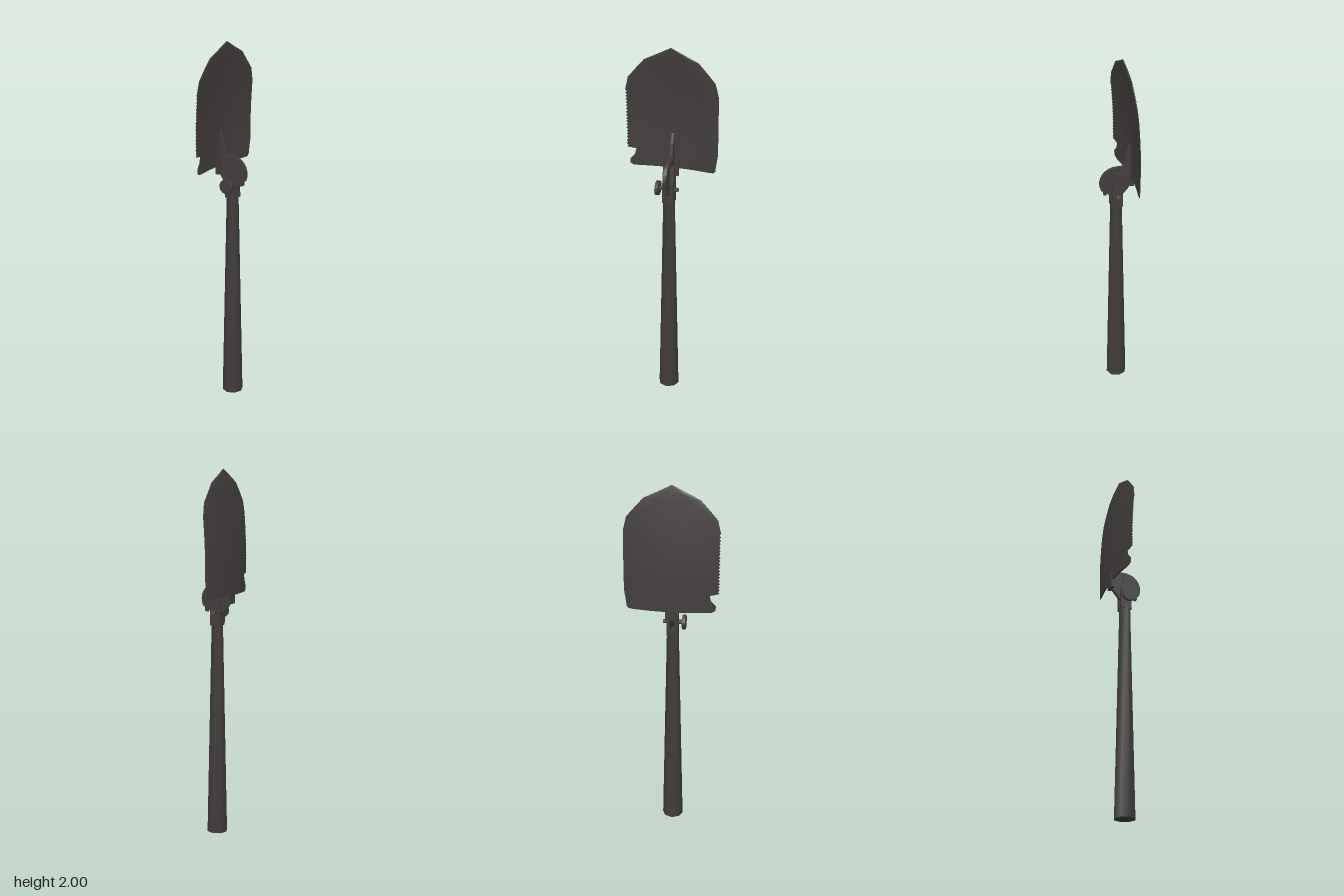
import * as THREE from 'three';
import { mergeGeometries, toCreasedNormals } from 'three/addons/utils/BufferGeometryUtils.js';

const steel = new THREE.MeshStandardMaterial({ color: 0x423e3d });
steel.name = 'dark steel';
const grip = new THREE.MeshStandardMaterial({ color: 0x403c3b });
grip.name = 'dark handle';
const brass = new THREE.MeshStandardMaterial({ color: 0x6b5424 });
brass.name = 'brass';

function add(parent, name, geometry, material, x = 0, y = 0, z = 0) {
  const mesh = new THREE.Mesh(geometry, material);
  mesh.name = name;
  mesh.position.set(x, y, z);
  parent.add(mesh);
  return mesh;
}

// Flat plate from an outline in x and y, centred on z = 0
function plate(points, thickness) {
  const shape = new THREE.Shape(points.map(([x, y]) => new THREE.Vector2(x, y)));
  return new THREE.ExtrudeGeometry(shape, { depth: thickness, bevelEnabled: false }).translate(0, 0, -thickness / 2);
}

function disc(radius, depth, sides) {
  return toCreasedNormals(new THREE.CylinderGeometry(radius, radius, depth, sides).rotateX(Math.PI / 2), 0.9);
}

// Centre line of the blade: straight near the hinge, curling forward at the tip
function bladeX(y, z) {
  const k = Math.max(0, (y - 1.5) / 0.5);
  return -0.083 + 0.048 * Math.pow(k, 1.5) + 0.45 * z * z * (1 - 0.5 * k);
}

function bladeGeometry() {
  // Rows from the bottom: height, edge at -z, edge at +z (with the hooked notch)
  const rows = [
    [1.335, -0.225, 0.215], [1.345, -0.237, 0.232], [1.37, -0.24, 0.233],
    [1.4, -0.244, 0.207], [1.43, -0.249, 0.2], [1.437, -0.25, 0.24]
  ];
  const teeth = 18;
  for (let i = 0; i <= teeth * 2; i++) {
    rows.push([1.44 + (0.32 * i) / (teeth * 2), -0.25, i % 2 ? 0.242 : 0.25]);
  }
  rows.push([1.83, -0.233, 0.233], [1.88, -0.19, 0.19], [1.93, -0.145, 0.145], [1.965, -0.072, 0.072], [2, -0.001, 0.001]);

  const cols = [0, 0.06, 0.2, 0.35, 0.5, 0.65, 0.8, 0.94, 1];
  const n = cols.length;
  const last = rows.length - 1;
  const point = (r, c, side) => {
    const [y, a, b] = rows[r];
    const z = a + (b - a) * cols[c];
    const half = c === 0 || c === n - 1 || r === last ? 0.0015 : 0.005;
    return [bladeX(y, z) + side * half, y, z];
  };
  const build = (positions, index) => {
    const g = new THREE.BufferGeometry();
    g.setAttribute('position', new THREE.Float32BufferAttribute(positions, 3));
    g.setIndex(index);
    g.computeVertexNormals();
    return g.toNonIndexed();
  };
  const face = (side) => {
    const positions = [], index = [];
    for (let r = 0; r <= last; r++) for (let c = 0; c < n; c++) positions.push(...point(r, c, side));
    for (let r = 0; r < last; r++) {
      for (let c = 0; c < n - 1; c++) {
        const a = r * n + c, b = a + n;
        if (side > 0) index.push(a, b, a + 1, b, b + 1, a + 1);
        else index.push(a, a + 1, b, b, a + 1, b + 1);
      }
    }
    return build(positions, index);
  };

  // Rim joining the two faces
  const loop = [];
  for (let c = 0; c < n; c++) loop.push([0, c]);
  for (let r = 1; r <= last; r++) loop.push([r, n - 1]);
  for (let c = n - 2; c >= 0; c--) loop.push([last, c]);
  for (let r = last - 1; r >= 0; r--) loop.push([r, 0]);
  const positions = [], index = [];
  for (let i = 0; i < loop.length - 1; i++) {
    const [a, b] = [loop[i], loop[i + 1]];
    const k = i * 4;
    positions.push(...point(...a, 1), ...point(...b, 1), ...point(...a, -1), ...point(...b, -1));
    index.push(k, k + 1, k + 2, k + 1, k + 3, k + 2);
  }
  return mergeGeometries([face(1), face(-1), build(positions, index)]);
}

export function createModel() {
  const group = new THREE.Group();
  group.name = 'foldingShovel';

  // Tapered handle
  const shaft = new THREE.CylinderGeometry(0.032, 0.058, 1.2, 8);
  add(group, 'handle', toCreasedNormals(shaft, 1), grip, 0, 0.6, 0);

  // Blade with its stiffening rib
  const blade = new THREE.Group();
  blade.name = 'blade';
  group.add(blade);
  add(blade, 'bladeSheet', bladeGeometry(), steel);
  add(blade, 'bladeRib', plate([[-0.085, 1.34], [-0.035, 1.36], [-0.04, 1.42], [-0.055, 1.48], [-0.078, 1.535], [-0.085, 1.535]], 0.014), steel);
  add(blade, 'bladeBracket', new THREE.BoxGeometry(0.02, 0.09, 0.06), steel, -0.081, 1.335, 0);

  // Hinge plate with stepped locking notches
  const hinge = [[-0.085, 1.3], [-0.065, 1.27], [-0.04, 1.24], [-0.02, 1.22], [0.03, 1.22], [0.04, 1.235], [0.04, 1.25], [0.055, 1.25], [0.055, 1.24], [0.07, 1.245], [0.07, 1.265]];
  for (let i = 0; i <= 9; i++) {
    const a = THREE.MathUtils.degToRad(-25 + i * 13);
    hinge.push([0.09 * Math.cos(a), 1.31 + 0.09 * Math.sin(a)]);
  }
  hinge.push([-0.045, 1.4], [-0.075, 1.37]);
  add(group, 'hingePlate', plate(hinge, 0.018), steel);

  // Fork prongs either side of the hinge plate
  const prong = [[-0.03, 1.17], [0.03, 1.17], [0.026, 1.28], [0.01, 1.37], [-0.012, 1.37], [-0.032, 1.28]];
  for (const side of [-1, 1]) {
    add(group, side > 0 ? 'frontProng' : 'backProng', plate(prong, 0.02), steel, 0, 0, side * 0.02);
  }

  // Locking bolt, knob and brass nut
  add(group, 'bolt', disc(0.012, 0.11, 8), steel, 0, 1.243, 0.008);
  add(group, 'lockingKnob', disc(0.04, 0.018, 12), steel, 0.002, 1.243, 0.061);
  add(group, 'boltNut', disc(0.012, 0.012, 6), brass, 0, 1.243, -0.046);
  return group;
}
